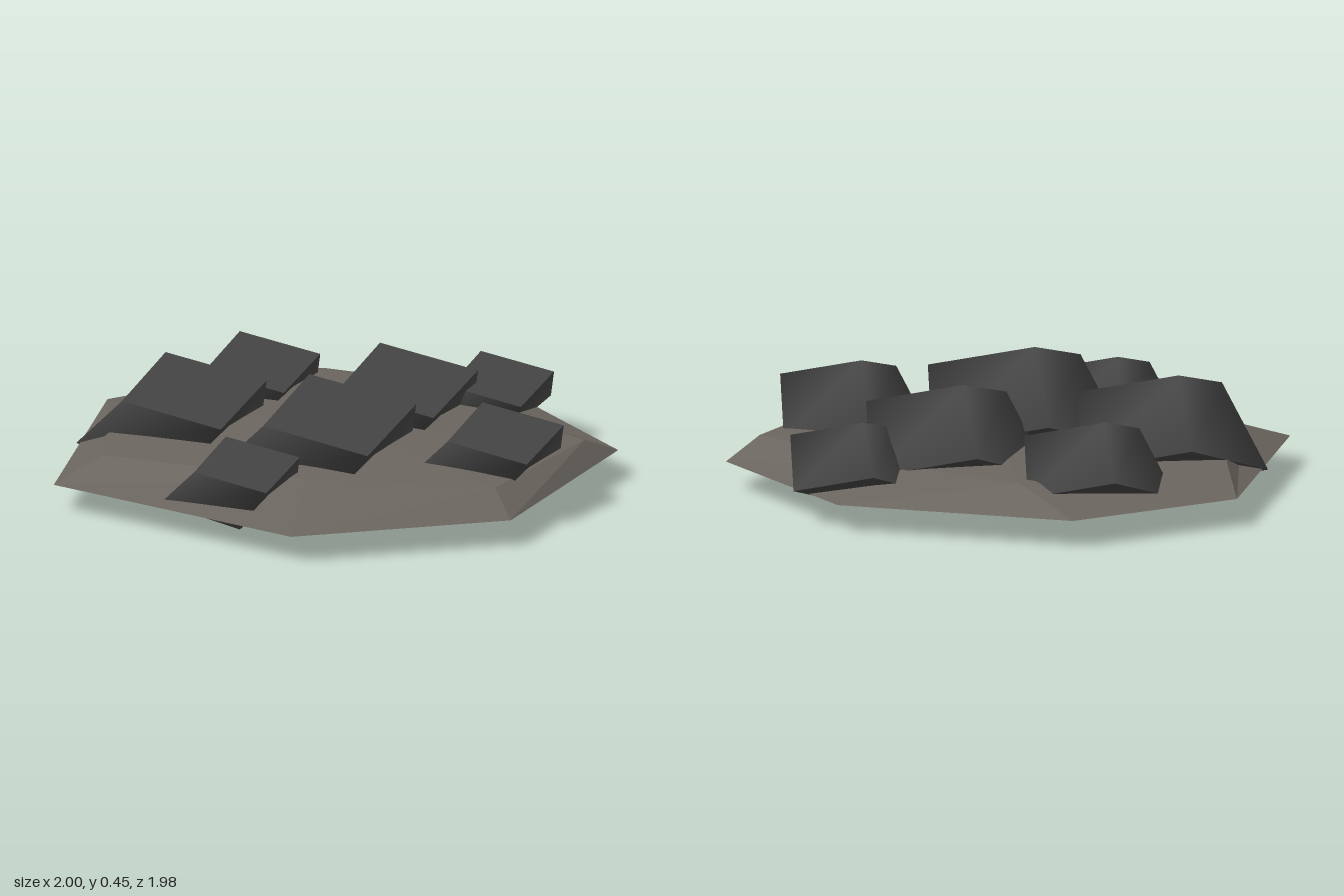
import * as THREE from 'three';

// Indexed geometry from [x, y, z] points and quads/triangles
function makeGeometry(points, faces) {
  const geo = new THREE.BufferGeometry();
  geo.setAttribute('position', new THREE.Float32BufferAttribute(points.flat(), 3));
  geo.setIndex(faces.flatMap(([a, b, c, d]) => (d === undefined ? [a, b, c] : [a, b, c, a, c, d])));
  return geo;
}

// Four-sided tapered block: flat ends, softly shaded sides
function makeLumpGeometry() {
  const top = [[0, 0, 0], [0.2, -0.056, -0.167], [0.305, -0.12, 0.053], [0.107, -0.064, 0.214]];
  const bottom = [[-0.23, -0.139, -0.128], [0.016, -0.208, -0.289], [0.102, -0.305, 0.016], [-0.139, -0.24, 0.176]];
  const faces = [[11, 10, 9, 8], [12, 13, 14, 15]];
  for (let i = 0; i < 4; i++) {
    const j = (i + 1) % 4;
    faces.push([i, j, 4 + j, 4 + i]);
  }
  // end corners are repeated so the ends keep sharp edges
  const geo = makeGeometry([...top, ...bottom, ...top, ...bottom], faces);
  geo.computeVertexNormals();
  return geo;
}

// Low seven-sided mound with a bevelled rim and a flat underside
function makeMoundGeometry() {
  const rim = [[-0.26, -0.95], [0.54, -0.84], [1, -0.04], [0.71, 0.69], [-0.28, 0.98], [-1, 0.22], [-0.95, -0.45]];
  const inner = [[-0.2, 0.18, -0.6], [0.56, 0.17, -0.68], [0.84, 0.17, -0.09], [0.4, 0.18, 0.4],
    [-0.28, 0.17, 0.77], [-0.75, 0.17, 0.36], [-0.64, 0.18, -0.45]];
  const n = rim.length;
  const points = [...rim.map(([x, z]) => [x, 0.1, z]), ...inner, [0.05, 0.21, -0.05], [0, 0.1, 0]];
  const faces = [];
  for (let i = 0; i < n; i++) {
    const j = (i + 1) % n;
    faces.push([j, i, n + i], [j, n + i, n + j], [n + j, n + i, 2 * n], [i, j, 2 * n + 1]);
  }
  const geo = makeGeometry(points, faces).toNonIndexed();
  geo.computeVertexNormals();
  return geo;
}

export function createModel() {
  const model = new THREE.Group();
  model.name = 'rockPatch';

  const stone = new THREE.MeshStandardMaterial({ color: 0x6b655f });
  stone.name = 'warm grey stone';
  const coal = new THREE.MeshStandardMaterial({ color: 0x434343 });
  coal.name = 'charcoal';

  const mound = new THREE.Mesh(makeMoundGeometry(), stone);
  mound.name = 'mound';
  model.add(mound);

  // Lumps: x, y, z of the highest corner, then size
  const lumps = [
    [0.11, 0.45, 0.17, 1.46],
    [-0.69, 0.36, -0.12, 1.1],
    [-0.13, 0.42, -0.31, 1.34],
    [-0.465, 0.425, 0.364, 1.38],
    [-0.085, 0.33, -0.71, 1],
    [0.55, 0.38, -0.25, 1.11],
    [0.235, 0.335, 0.62, 1.01],
  ];
  const lumpGeometry = makeLumpGeometry();
  lumps.forEach(([x, y, z, size], i) => {
    const lump = new THREE.Mesh(lumpGeometry, coal);
    lump.name = `lump${i + 1}`;
    lump.position.set(x, y, z);
    lump.scale.setScalar(size);
    model.add(lump);
  });

  return model;
}
